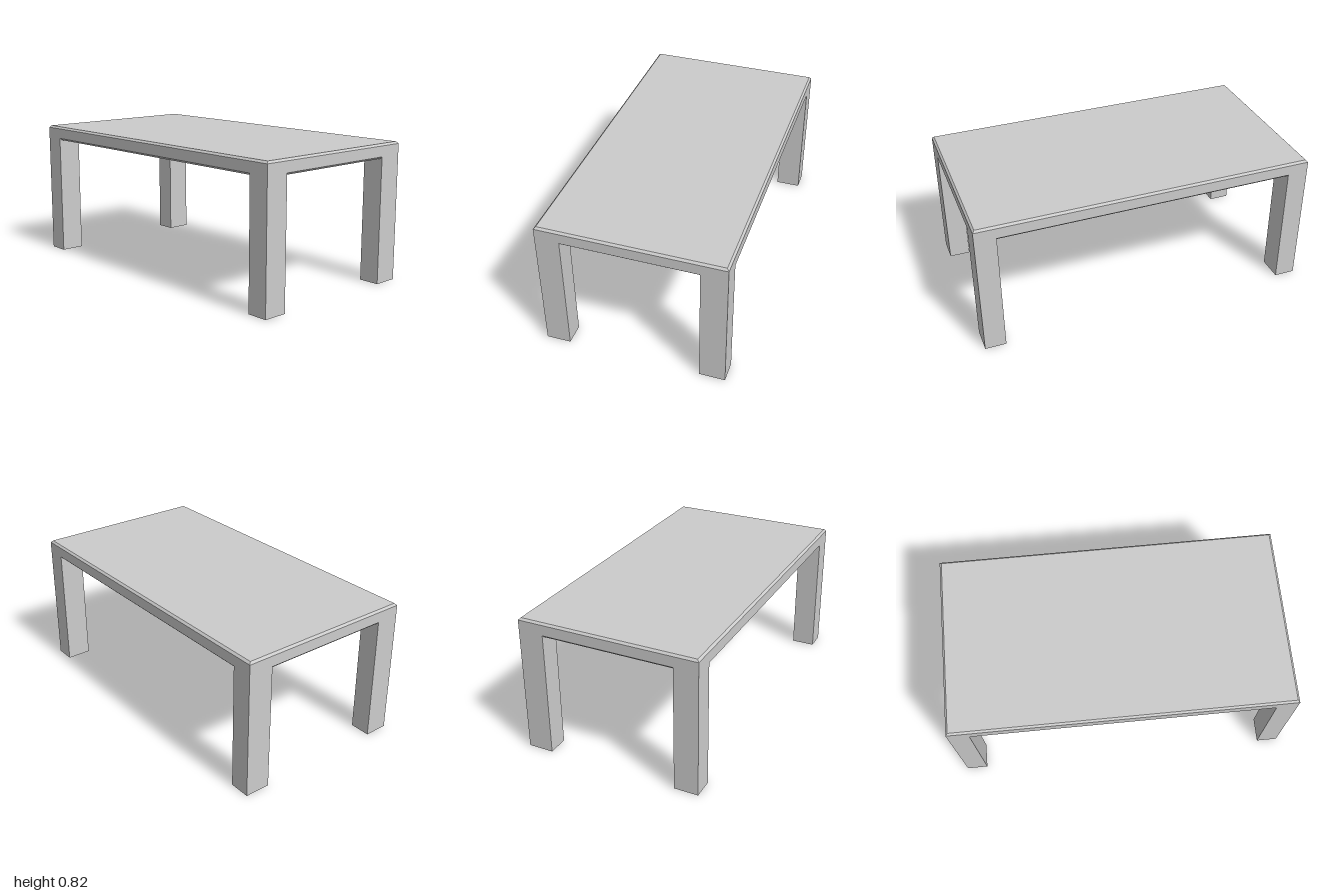
import * as THREE from 'three';

const HALF_W = 1, HALF_D = 0.536, HEIGHT = 0.82;
const THICKNESS = 0.086, BEVEL = 0.012;

export function createModel() {
  const group = new THREE.Group();
  group.name = 'table';
  const material = new THREE.MeshStandardMaterial({ color: 0xcccccc, flatShading: true });

  // Table top: slab with a small chamfer on its upper and lower edges
  const x = HALF_W - BEVEL, z = HALF_D - BEVEL;
  const outline = new THREE.Shape([
    new THREE.Vector2(-x, -z), new THREE.Vector2(x, -z),
    new THREE.Vector2(x, z), new THREE.Vector2(-x, z),
  ]);
  const slab = new THREE.ExtrudeGeometry(outline, {
    depth: THICKNESS - 2 * BEVEL,
    bevelEnabled: true, bevelSegments: 1, bevelSize: BEVEL, bevelThickness: BEVEL,
  });
  slab.rotateX(-Math.PI / 2);
  slab.translate(0, HEIGHT - THICKNESS + BEVEL, 0);
  const top = new THREE.Mesh(slab, material);
  top.name = 'tableTop';
  group.add(top);

  // Legs: square-edged posts flush with the corners, reaching the slab's side faces
  const legHeight = HEIGHT - THICKNESS + BEVEL, legW = 0.124;
  for (const [end, sz, legD] of [['front', 1, 0.143], ['back', -1, 0.15]]) {
    for (const [side, sx] of [['Left', 1], ['Right', -1]]) {
      const leg = new THREE.Mesh(new THREE.BoxGeometry(legW, legHeight, legD), material);
      leg.position.set(sx * (HALF_W - legW / 2), legHeight / 2, sz * (HALF_D - legD / 2));
      leg.name = `${end}${side}Leg`;
      group.add(leg);
    }
  }
  return group;
}
